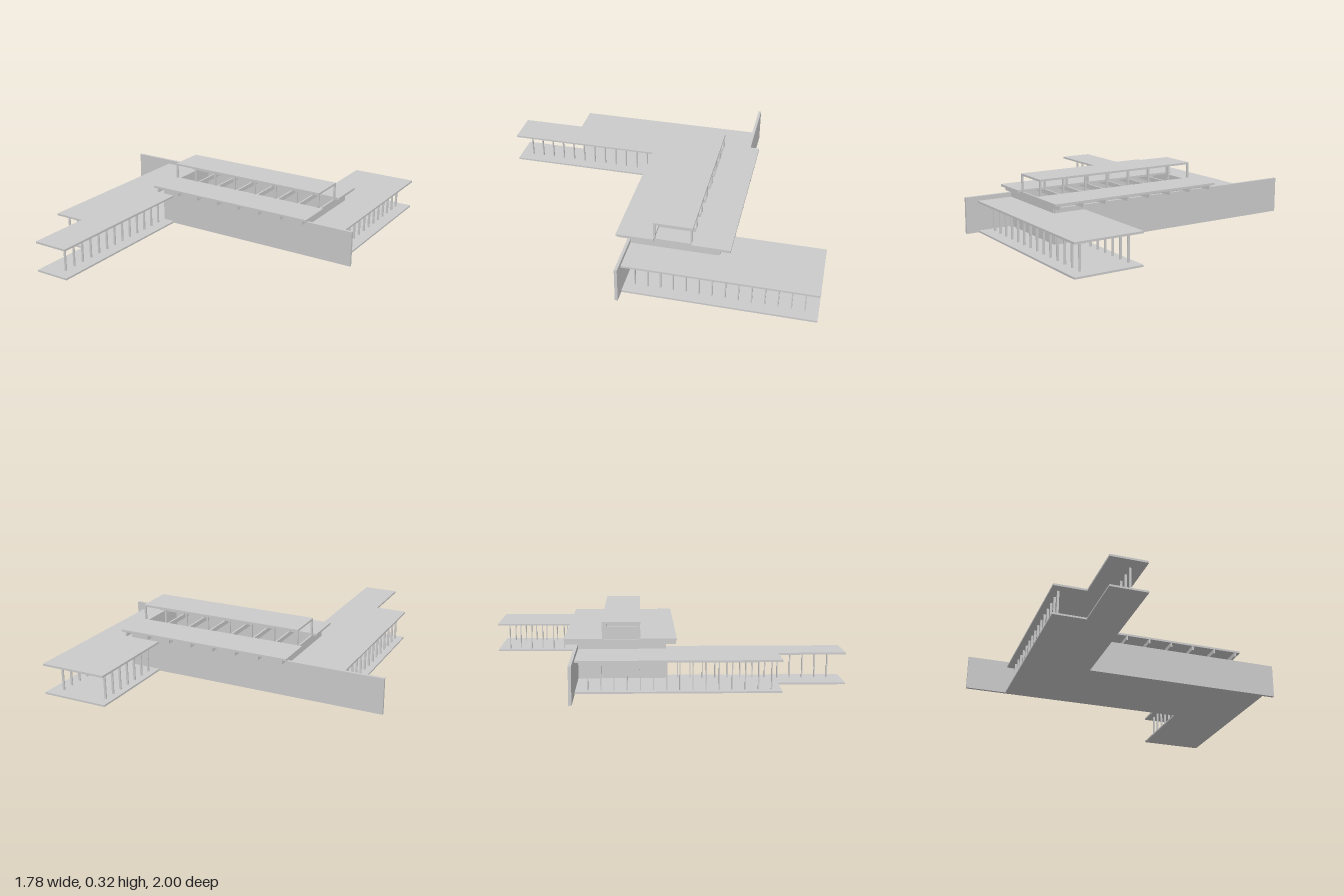
import * as THREE from 'three';

const grey = new THREE.MeshStandardMaterial({ color: 0xcccccc, flatShading: true });

// Plan outline of the building as [x, z] corners
const PLAN = [
  [-0.655, -0.45], [0.44, -0.45], [0.44, -1], [0.82, -1], [0.82, 0.025], [-0.275, 0.025],
  [-0.275, 1], [-0.475, 1], [-0.475, 0.635], [-0.655, 0.635],
];
// Hall rising above the wing roofs
const HALL = { x0: -0.345, x1: 0.615, z0: -0.45, z1: 0.025 };
const FLOOR_TOP = 0.01, ROOF_BASE = 0.164, ROOF_TOP = 0.175, WALL_TOP = 0.2;

export function createModel() {
  const model = new THREE.Group();

  // Box given by its low and high corner
  function block(name, x0, x1, y0, y1, z0, z1, parent = model) {
    const mesh = new THREE.Mesh(new THREE.BoxGeometry(x1 - x0, y1 - y0, z1 - z0), grey);
    mesh.position.set((x0 + x1) / 2, (y0 + y1) / 2, (z0 + z1) / 2);
    mesh.name = name;
    parent.add(mesh);
  }

  // Flat slab cut to the plan outline, optionally open over the hall
  function planSlab(name, y0, y1, openHall) {
    const shape = new THREE.Shape(PLAN.map(([x, z]) => new THREE.Vector2(x, z)));
    if (openHall) {
      const { x0, x1, z0, z1 } = HALL, e = 0.005;
      shape.holes.push(new THREE.Path([[x0, z0 + e], [x0, z1 - e], [x1, z1 - e], [x1, z0 + e]]
        .map(([x, z]) => new THREE.Vector2(x, z))));
    }
    const geometry = new THREE.ExtrudeGeometry(shape, { depth: y1 - y0, bevelEnabled: false });
    geometry.rotateX(Math.PI / 2).translate(0, y1, 0);
    const mesh = new THREE.Mesh(geometry, grey);
    mesh.name = name;
    model.add(mesh);
  }
  planSlab('floor', 0, FLOOR_TOP, false);
  planSlab('wingRoof', ROOF_BASE, ROOF_TOP, true);

  // Long walls running past the wings, and the hall's end walls
  block('frontWall', HALL.x0, 0.89, 0, WALL_TOP, 0.02, 0.036);
  block('backWall', -0.89, HALL.x1, 0, WALL_TOP, -0.461, -0.445);
  for (const x of [HALL.x0, HALL.x1]) {
    block('hallEndWall', x - 0.005, x + 0.005, FLOOR_TOP, WALL_TOP, HALL.z0, HALL.z1);
  }

  // Rows of slim columns along the wings
  function columnRow(name, x, zStart, step, count) {
    const row = new THREE.Group();
    row.name = name;
    for (let i = 0; i < count; i++) {
      const z = zStart + i * step;
      block('column', x - 0.006, x + 0.006, FLOOR_TOP, ROOF_BASE, z - 0.003, z + 0.003, row);
    }
    model.add(row);
  }
  const STEP = 0.0687;
  columnRow('frontWingInnerColumns', -0.345, 0.925, -STEP, 13);
  columnRow('frontWingOuterColumns', -0.615, 0.582, -STEP, 15);
  columnRow('backWingInnerColumns', 0.48, -0.93, STEP, 7);
  columnRow('backWingOuterColumns', 0.75, -0.93, STEP, 14);

  // Upper roof: two low slabs with a raised strip between them
  block('frontUpperRoof', -0.375, 0.645, 0.224, 0.236, -0.11, 0.095);
  block('backUpperRoof', -0.375, 0.645, 0.224, 0.236, -0.52, -0.313);
  block('raisedRoof', -0.35, 0.62, 0.314, 0.325, -0.315, -0.103);

  // Eight roof frames: a cross beam and two posts each
  const FRAMES = 8;
  for (let i = 0; i < FRAMES; i++) {
    const x = HALL.x0 + (HALL.x1 - HALL.x0) * i / (FRAMES - 1);
    const frame = new THREE.Group();
    frame.name = 'roofFrame';
    block('crossBeam', x - 0.005, x + 0.005, WALL_TOP, 0.225, -0.517, 0.092, frame);
    for (const z of [-0.109, -0.309]) {
      block('post', x - 0.005, x + 0.005, 0.224, 0.315, z - 0.005, z + 0.005, frame);
    }
    model.add(frame);
  }
  return model;
}
